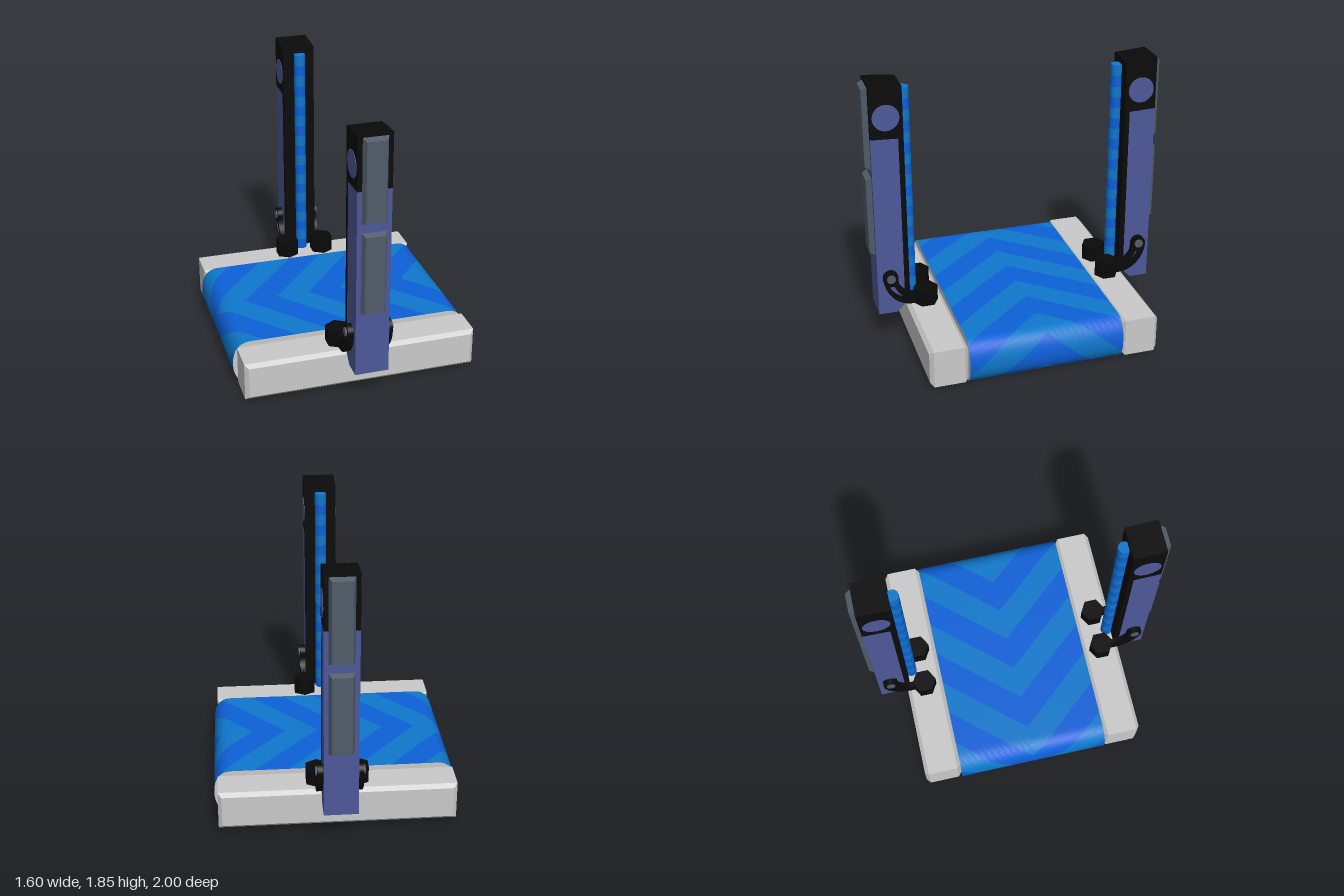
import * as THREE from 'three';

const mat = (name, color, side = THREE.FrontSide) => {
  const m = new THREE.MeshStandardMaterial({ color, side });
  m.name = name;
  return m;
};

// Box with chamfered front and back rims (rim inset and rim depth set separately)
function bevelBox(w, h, d, inset, depth = inset) {
  const x = w / 2 - inset, y = h / 2 - inset;
  const s = new THREE.Shape([[-x, -y], [x, -y], [x, y], [-x, y]].map(p => new THREE.Vector2(...p)));
  const len = Math.max(d - 2 * depth, 0.001);
  return new THREE.ExtrudeGeometry(s, {
    depth: len, bevelEnabled: true, bevelSegments: 1, bevelSize: inset, bevelThickness: depth,
  }).translate(0, 0, -len / 2);
}

// Extrude a (z, y) outline across x, centred on x = cx
function sideExtrude(shape, width, cx = 0) {
  return new THREE.ExtrudeGeometry(shape, { depth: width, bevelEnabled: false, curveSegments: 10 })
    .translate(0, 0, -width / 2).rotateY(-Math.PI / 2).translate(cx, 0, 0);
}
const poly = pts => new THREE.Shape(pts.map(p => new THREE.Vector2(...p)));

// Belt loop outline in x, y, running clockwise from the top centre
function beltOutline() {
  const s = new THREE.Shape();
  s.moveTo(0, 0.31);
  s.lineTo(0.68, 0.31);
  s.bezierCurveTo(0.76, 0.31, 0.8, 0.25, 0.8, 0.155);
  s.bezierCurveTo(0.8, 0.06, 0.76, 0, 0.68, 0);
  s.lineTo(-0.68, 0);
  s.bezierCurveTo(-0.76, 0, -0.8, 0.06, -0.8, 0.155);
  s.bezierCurveTo(-0.8, 0.25, -0.76, 0.31, -0.68, 0.31);
  s.lineTo(0, 0.31);
  return s;
}

// Every second chevron band of the belt, as a sheared grid wrapped on the loop
function chevrons(outline, first) {
  const L = outline.getLength(), bands = 16, w = L / bands, half = 0.52;
  const nu = 8, nz = 24, pos = [], nor = [], idx = [];
  const at = s => outline.getPoint((((s / L) % 1) + 1) % 1);
  for (let b = first; b < bands; b += 2) {
    const base = pos.length / 3;
    for (let i = 0; i <= nu; i++) for (let j = 0; j <= nz; j++) {
      const z = half * (2 * j / nz - 1);
      const s = -0.145 + w * (b + i / nu) + 2 * w * Math.abs(z) / half;
      const p = at(s), a = at(s - 0.01), c = at(s + 0.01);
      const n = new THREE.Vector2(a.y - c.y, c.x - a.x).normalize();
      pos.push(p.x, p.y, z);
      nor.push(n.x, n.y, 0);
      if (i < nu && j < nz) {
        const k = base + i * (nz + 1) + j, m = k + nz + 1;
        idx.push(k, k + 1, m, k + 1, m + 1, m);
      }
    }
  }
  const g = new THREE.BufferGeometry();
  g.setAttribute('position', new THREE.Float32BufferAttribute(pos, 3));
  g.setAttribute('normal', new THREE.Float32BufferAttribute(nor, 3));
  g.setIndex(idx);
  return g;
}

export function createModel() {
  const M = {
    dark: mat('royal blue', 0x0d60d8, THREE.DoubleSide),
    light: mat('azure blue', 0x0e78cc, THREE.DoubleSide),
    rail: mat('light grey', 0xcacaca),
    indigo: mat('indigo', 0x4d5999),
    black: mat('black', 0x0a0a0a),
    slate: mat('slate grey', 0x505c68),
  };
  const model = new THREE.Group();
  model.name = 'conveyorScanner';
  const add = (parent, name, geo, material, x = 0, y = 0, z = 0) => {
    const m = new THREE.Mesh(geo, material);
    m.name = name;
    m.position.set(x, y, z);
    parent.add(m);
    return m;
  };

  // Belt
  const outline = beltOutline();
  add(model, 'beltDarkChevrons', chevrons(outline, 0), M.dark);
  add(model, 'beltLightChevrons', chevrons(outline, 1), M.light);

  // Bracket arm outline with a crescent slot
  const arm = new THREE.Shape();
  arm.moveTo(0.64, 0.295);
  arm.lineTo(0.75, 0.295);
  arm.bezierCurveTo(0.85, 0.3, 0.93, 0.4, 0.93, 0.5);
  arm.absarc(0.88, 0.5, 0.05, 0, Math.PI, false);
  arm.bezierCurveTo(0.84, 0.43, 0.79, 0.38, 0.72, 0.37);
  arm.lineTo(0.64, 0.37);
  arm.closePath();
  const slot = new THREE.Path();
  slot.moveTo(0.895, 0.44);
  slot.quadraticCurveTo(0.86, 0.35, 0.765, 0.328);
  slot.quadraticCurveTo(0.83, 0.37, 0.86, 0.44);
  slot.closePath();
  arm.holes.push(slot);

  // One side: rail, post, lamp and brackets; repeated by a half turn
  for (const [side, turn] of [['front', 0], ['back', Math.PI]]) {
    const g = new THREE.Group();
    g.name = side + 'Side';
    g.rotation.y = turn;
    model.add(g);

    add(g, 'beltEndCap', new THREE.ShapeGeometry(outline, 12), M.rail, 0, 0, 0.519);
    add(g, 'rail', bevelBox(1.55, 0.26, 0.255, 0.025), M.rail, 0, 0.16, 0.6475);

    // Post
    add(g, 'postBody', sideExtrude(poly([[0.965, 0.225], [0.965, 1.49], [0.785, 1.48], [0.785, 0.28], [0.84, 0.225]]), 0.22), M.indigo);
    add(g, 'postInnerStrip', sideExtrude(poly([[0.785, 0.28], [0.785, 1.48], [0.75, 1.48], [0.75, 0.31]]), 0.22), M.black);
    add(g, 'postCap', sideExtrude(poly([[0.965, 1.49], [0.965, 1.85], [0.75, 1.832], [0.75, 1.48]]), 0.22), M.black);
    add(g, 'capDisc', new THREE.CylinderGeometry(0.088, 0.088, 0.226, 32).rotateZ(Math.PI / 2), M.indigo, 0, 1.63, 0.86);
    for (const y of [0.9375, 1.5525])
      add(g, 'outerPanel', bevelBox(0.16, 0.555, 0.07, 0.016, 0.035), M.slate, 0, y, 0.965);

    // Striped lamp tube
    const n = 20, y0 = 0.29, h = 1.5 / n;
    for (let i = 0; i < n; i++)
      add(g, 'lampSegment', new THREE.CylinderGeometry(0.04, 0.04, h, 12, 1, i < n - 1),
        i % 2 ? M.light : M.dark, 0, y0 + (i + 0.5) * h, 0.724);

    // Brackets with hexagonal feet and bolts
    for (const s of [-1, 1]) {
      add(g, 'bracketFoot', new THREE.CylinderGeometry(0.083, 0.083, 0.112, 6).toNonIndexed(), M.black, s * 0.13, 0.346, 0.648);
      add(g, 'bracketArm', sideExtrude(arm, 0.038, s * 0.128), M.black);
      add(g, 'bracketBolt', new THREE.CylinderGeometry(0.03, 0.03, 0.05, 12).rotateZ(Math.PI / 2), M.slate, s * 0.132, 0.5, 0.88);
    }
  }
  return model;
}
